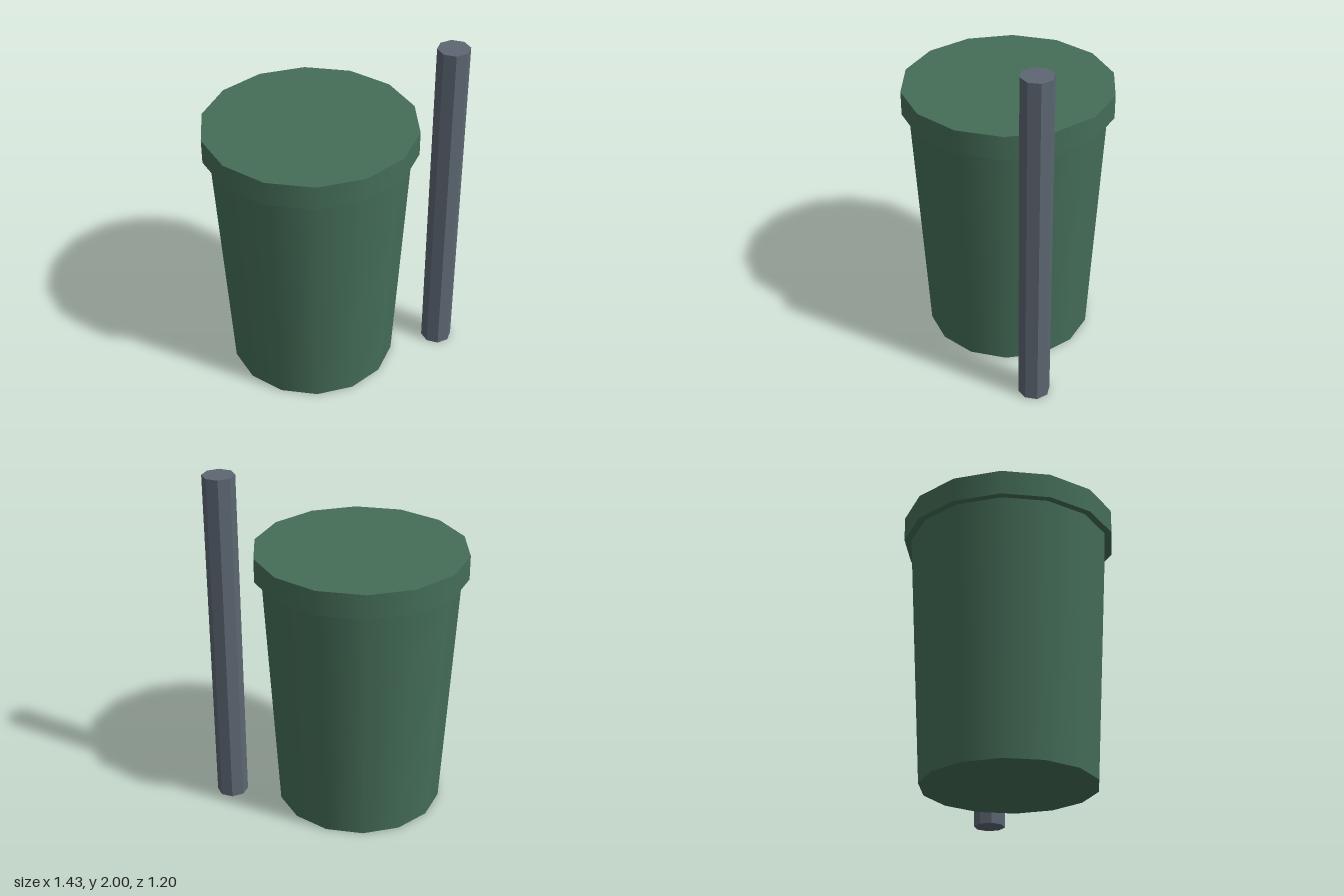
import * as THREE from 'three';

export function createModel() {
  const model = new THREE.Group();
  const green = new THREE.MeshStandardMaterial({ color: 0x456e58 });
  const slate = new THREE.MeshStandardMaterial({ color: 0x5c6672, flatShading: true });

  // Upright capped cylinder standing on height y0
  function addColumn(name, material, topRadius, bottomRadius, y0, y1, sides, x) {
    const geometry = new THREE.CylinderGeometry(topRadius, bottomRadius, y1 - y0, sides);
    const mesh = new THREE.Mesh(geometry, material);
    mesh.name = name;
    mesh.position.set(x, (y0 + y1) / 2, 0);
    model.add(mesh);
  }

  // Tapered bin with an overhanging lid
  addColumn('binBody', green, 0.56, 0.48, 0, 1.43, 14, -0.133);
  addColumn('binLid', green, 0.6, 0.6, 1.43, 1.57, 14, -0.133);

  // Free-standing octagonal post on the left
  addColumn('post', slate, 0.09, 0.09, 0, 2, 8, 0.627);

  return model;
}
